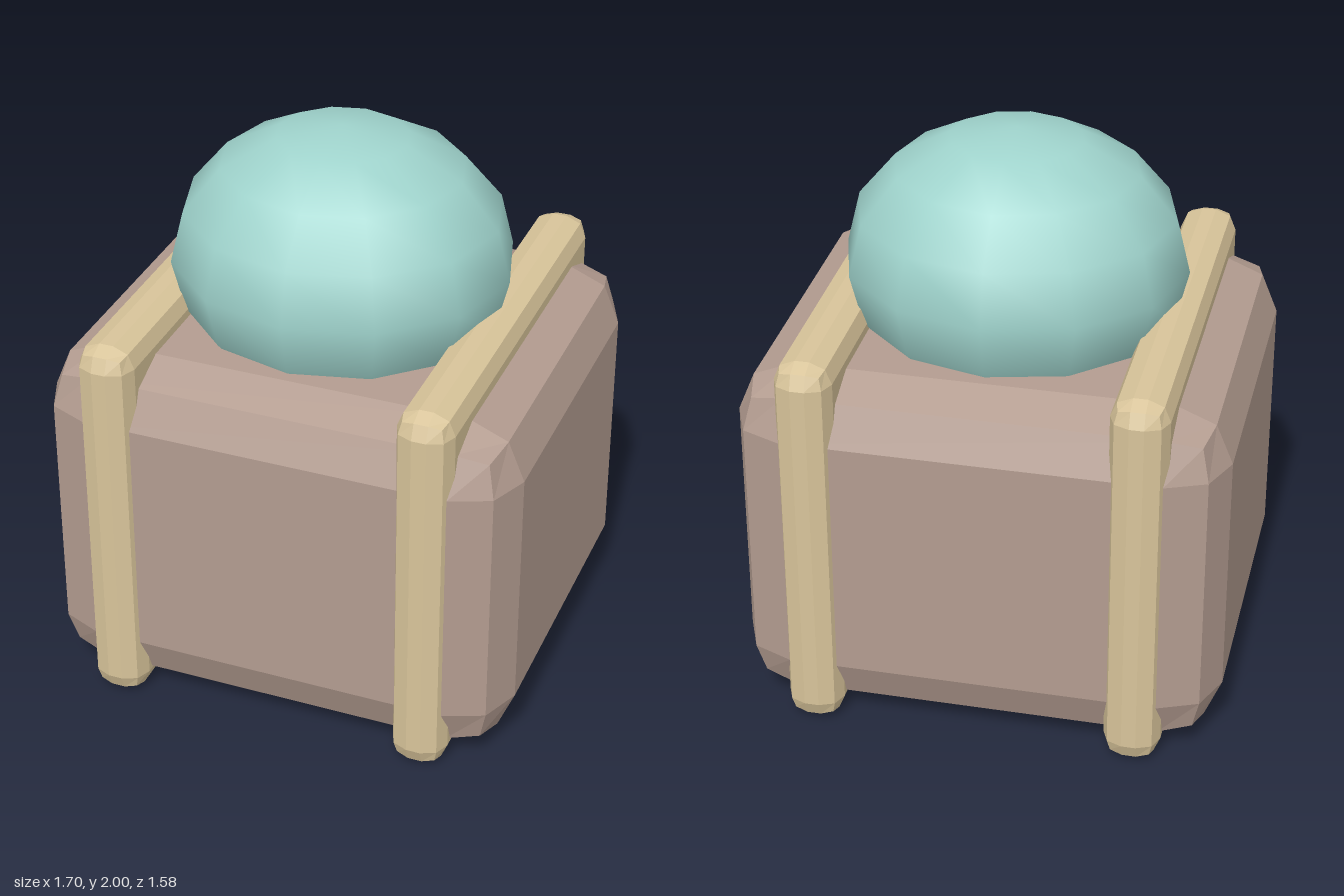
import * as THREE from 'three';
import { RoundedBoxGeometry } from 'three/addons/geometries/RoundedBoxGeometry.js';

export function createModel() {
  const group = new THREE.Group();
  const bodyMaterial = new THREE.MeshStandardMaterial({ color: 0xb39c90, flatShading: true });
  const strapMaterial = new THREE.MeshStandardMaterial({ color: 0xd8c49a, flatShading: true });
  const ballMaterial = new THREE.MeshStandardMaterial({ color: 0x9fd3cc });

  const add = (name, geometry, material, x, y) => {
    const mesh = new THREE.Mesh(geometry, material);
    mesh.name = name;
    mesh.position.set(x, y, 0);
    group.add(mesh);
    return mesh;
  };

  // Chunky block with one 45-degree rounding step
  add('body', new RoundedBoxGeometry(1.7, 1.285, 1.5, 1, 0.2), bodyMaterial, 0, 0.6675);

  // Bands wrapping the body on both sides
  const strapGeometry = new RoundedBoxGeometry(0.2, 1.415, 1.58, 1, 0.075);
  add('leftStrap', strapGeometry, strapMaterial, 0.565, 0.7075);
  add('rightStrap', strapGeometry, strapMaterial, -0.565, 0.7075);

  // Squashed ball sunk into the top
  const ball = add('ball', new THREE.SphereGeometry(1, 12, 8), ballMaterial, 0, 1.515);
  ball.scale.set(0.605, 0.485, 0.565);

  return group;
}
